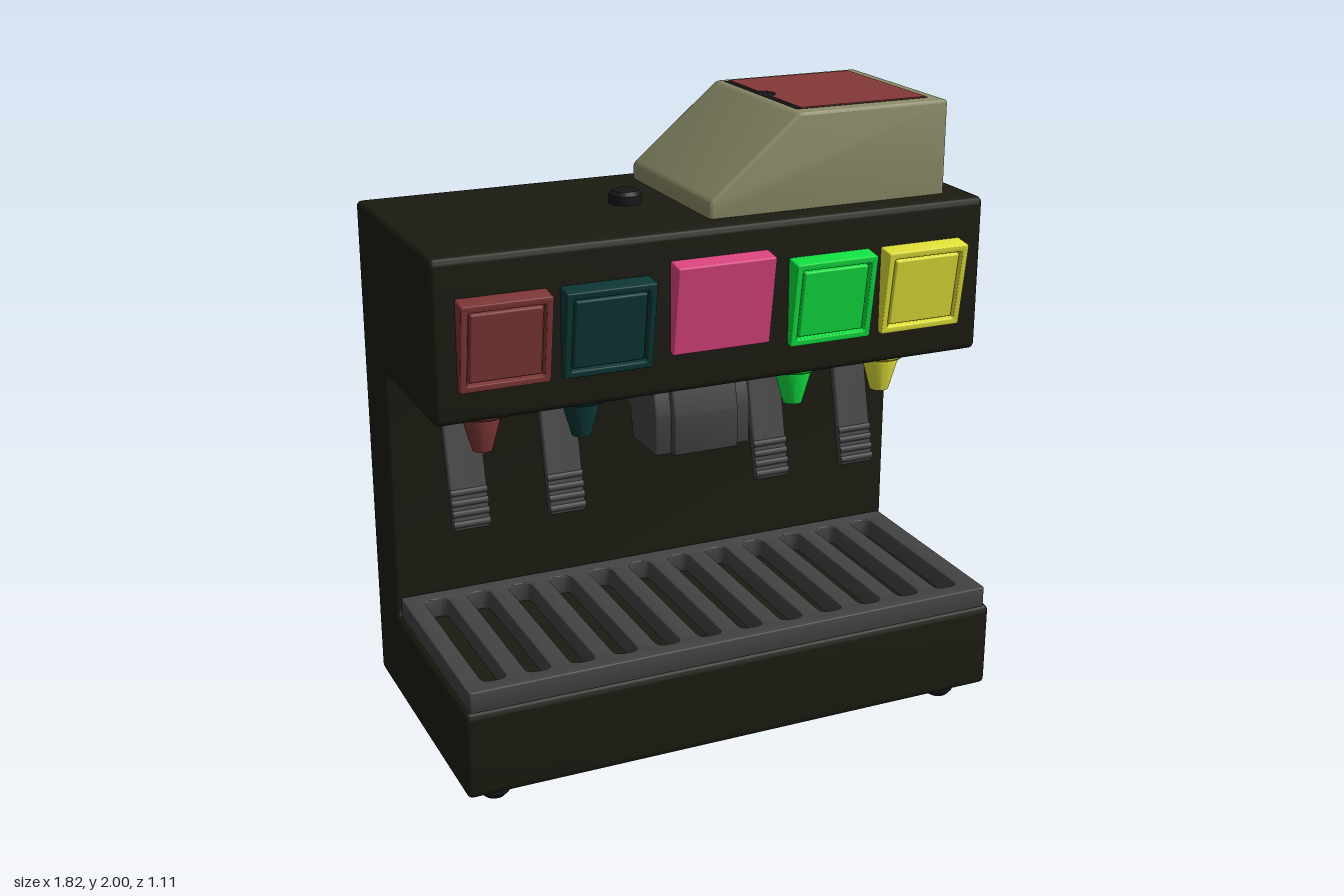
import * as THREE from 'three';
import { toCreasedNormals } from 'three/addons/utils/BufferGeometryUtils.js';
import { RoundedBoxGeometry } from 'three/addons/geometries/RoundedBoxGeometry.js';

const mat = (color, side = THREE.FrontSide) => new THREE.MeshStandardMaterial({ color, side });
const BODY = mat(0x1b1b12), PANEL = mat(0x212124), GREY = mat(0x434343), BLACK = mat(0x17171a);
const BEIGE = mat(0x8a8a67), LID = mat(0x843838);

function add(parent, name, geometry, material, x = 0, y = 0, z = 0) {
  const mesh = new THREE.Mesh(geometry, material);
  mesh.name = name;
  mesh.position.set(x, y, z);
  parent.add(mesh);
  return mesh;
}

// Closed outline with every corner rounded by r
function roundedShape(points, r, Type = THREE.Shape) {
  const s = new Type();
  const v = points.map(p => new THREE.Vector2(...p));
  v.forEach((p, i) => {
    const prev = v[(i + v.length - 1) % v.length], next = v[(i + 1) % v.length];
    const a = p.clone().add(prev.clone().sub(p).setLength(r));
    const b = p.clone().add(next.clone().sub(p).setLength(r));
    if (i) s.lineTo(a.x, a.y); else s.moveTo(a.x, a.y);
    s.quadraticCurveTo(p.x, p.y, b.x, b.y);
  });
  s.closePath();
  return s;
}

const rect = (x0, y0, x1, y1) => [[x0, y0], [x1, y0], [x1, y1], [x0, y1]];

// Extrusion centred on its depth, with softened rims
function extrude(shape, depth, bevel = 0.012) {
  const g = new THREE.ExtrudeGeometry(shape, {
    depth: depth - 2 * bevel, bevelEnabled: bevel > 0, bevelSize: bevel, bevelThickness: bevel,
    bevelOffset: -bevel, bevelSegments: 3, curveSegments: 6,
  });
  g.translate(0, 0, bevel - depth / 2);
  return toCreasedNormals(g, 0.6);
}

// Side profile given as (z, y), extruded across x
const sideExtrude = (points, width, r, bevel) =>
  extrude(roundedShape(points, r), width, bevel).rotateY(-Math.PI / 2);

const lathe = (points, n = 32) =>
  toCreasedNormals(new THREE.LatheGeometry(points.map(p => new THREE.Vector2(...p)), n), 0.6);

function addHopper(root) {
  const g = new THREE.Group();
  g.name = 'hopper';
  root.add(g);
  const outline = [[0, 1.69], [0.82, 1.69], [0.82, 2], [0.3, 2], [0, 1.75]];
  add(g, 'hopperShell', extrude(roundedShape(outline, 0.014), 0.6, 0.01), BEIGE, 0, 0, -0.01);
  add(g, 'lidGap', new THREE.BoxGeometry(0.462, 0.01, 0.51), BLACK, 0.545, 1.9965, -0.0175);
  // Lid with a finger notch in its left edge
  const lid = new THREE.Shape();
  lid.moveTo(0.33, -0.235);
  lid.lineTo(0.773, -0.235);
  lid.lineTo(0.773, 0.27);
  lid.lineTo(0.33, 0.27);
  lid.lineTo(0.33, 0.06);
  lid.absarc(0.32, 0.015, 0.046, 1.35, -1.35, true);
  lid.closePath();
  add(g, 'hopperLid', extrude(lid, 0.012, 0).rotateX(-Math.PI / 2), LID, 0, 1.998, 0);
}

function addButton(root, x0, x1, y0, y1, color, framed) {
  const g = new THREE.Group(), w = x1 - x0, h = y1 - y0, m = mat(color);
  g.name = 'drinkButton';
  g.position.set((x0 + x1) / 2, (y0 + y1) / 2, 0.414);
  g.rotation.x = 0.15;
  root.add(g);
  if (!framed) {
    add(g, 'buttonPad', new RoundedBoxGeometry(w, h, 0.1, 2, 0.006), m, 0, 0, -0.045);
    return;
  }
  const frame = roundedShape(rect(-w / 2, -h / 2, w / 2, h / 2), 0.008);
  const a = w / 2 - 0.022, b = h / 2 - 0.022;
  frame.holes.push(roundedShape(rect(-a, -b, a, b), 0.008, THREE.Path));
  add(g, 'buttonFrame', extrude(frame, 0.1, 0.004), m, 0, 0, -0.045);
  add(g, 'buttonBack', new THREE.BoxGeometry(w - 0.02, h - 0.02, 0.06), m, 0, 0, -0.045);
  add(g, 'buttonPad', new RoundedBoxGeometry(2 * a - 0.014, 2 * b - 0.014, 0.08, 2, 0.006), m, 0, 0, -0.038);
}

function addDispenser(root, x, color) {
  const g = new THREE.Group();
  g.name = 'dispenser';
  g.position.x = x;
  root.add(g);
  add(g, 'nozzleCollar', lathe([[0, 1.17], [0.115, 1.17], [0.125, 1.178], [0.125, 1.21]]), GREY, 0, 0, 0.155);
  add(g, 'nozzle', lathe([[0, 1.05], [0.02, 1.02], [0.031, 1.02], [0.058, 1.118], [0.058, 1.135], [0.074, 1.135],
    [0.081, 1.142], [0.081, 1.163], [0.074, 1.172], [0, 1.172]]), mat(color), 0, 0, 0.155);
  // Push lever hanging from a hinge block, with grip ridges near its tip
  add(g, 'leverHinge', new RoundedBoxGeometry(0.12, 0.05, 0.08, 2, 0.01), GREY, 0, 1.18, -0.105);
  const lever = new THREE.Group();
  lever.name = 'pushLever';
  lever.position.set(0, 0.715, 0.012);
  lever.rotation.x = -0.235;
  g.add(lever);
  add(lever, 'leverBlade', new RoundedBoxGeometry(0.124, 0.5, 0.028, 2, 0.008), GREY, 0, 0.235, 0);
  for (let i = 0; i < 4; i++) {
    add(lever, 'gripRidge', new THREE.CylinderGeometry(0.012, 0.012, 0.122, 10).rotateZ(Math.PI / 2),
      GREY, 0, 0.005 + i * 0.034, 0.009);
  }
}

function addBackPanel(root) {
  const g = new THREE.Group();
  g.name = 'backPanel';
  g.position.set(0, 1.315, -0.38);
  g.rotation.y = Math.PI;
  root.add(g);
  // Sloping sides between a large and a small rectangle
  const outer = rect(-0.885, -0.315, 0.885, 0.315), inner = rect(-0.8, -0.225, 0.8, 0.225);
  const pos = [];
  for (let i = 0; i < 4; i++) {
    const j = (i + 1) % 4;
    const A = [...outer[i], 0], B = [...outer[j], 0], C = [...inner[j], 0.165], D = [...inner[i], 0.165];
    pos.push(...A, ...B, ...C, ...A, ...C, ...D);
  }
  const sides = new THREE.BufferGeometry();
  sides.setAttribute('position', new THREE.Float32BufferAttribute(pos, 3));
  sides.computeVertexNormals();
  add(g, 'panelSides', sides, PANEL);
  // Face with five vent slots, each with a pocket behind it
  const face = new THREE.Shape(inner.map(p => new THREE.Vector2(...p)));
  const pocketMat = mat(0x19191b, THREE.BackSide);
  for (let i = -2; i <= 2; i++) {
    const x = i * 0.142;
    face.holes.push(new THREE.Path(rect(x - 0.034, -0.15, x + 0.034, 0.15).map(p => new THREE.Vector2(...p))));
    add(g, 'ventPocket', new THREE.BoxGeometry(0.068, 0.3, 0.06), pocketMat, x, 0, 0.135);
  }
  add(g, 'panelFace', new THREE.ShapeGeometry(face), PANEL, 0, 0, 0.165);
  for (const x of [-0.73, 0.73]) for (const y of [-0.163, 0.163]) {
    add(g, 'panelScrew', lathe([[0.03, 0], [0.03, 0.006], [0.024, 0.012], [0, 0.012]], 20).rotateX(Math.PI / 2),
      BLACK, x, y, 0.164);
  }
}

export function createModel() {
  const root = new THREE.Group();
  root.name = 'drinkDispenser';

  // C-shaped housing: base, column and overhanging head
  add(root, 'housing', sideExtrude([[-0.39, 0.06], [0.555, 0.06], [0.555, 0.35], [-0.17, 0.35], [-0.17, 1.195],
    [0.38, 1.195], [0.38, 1.7], [-0.39, 1.7]], 1.82, 0.025, 0.015), BODY);

  // Drip tray with twelve slots
  const tray = roundedShape(rect(-0.895, -0.545, 0.895, 0.165), 0.01);
  for (let i = 0; i < 12; i++) {
    const x = (i - 5.5) * 0.1435 - 0.005;
    tray.holes.push(roundedShape(rect(x - 0.04, -0.49, x + 0.04, 0.11), 0.03, THREE.Path));
  }
  add(root, 'dripTray', extrude(tray, 0.07, 0.004).rotateX(-Math.PI / 2), GREY, 0, 0.38, 0);

  // Feet
  for (const x of [-0.795, 0.795]) for (const z of [0.445, -0.28]) {
    add(root, 'foot', lathe([[0, 0], [0.035, 0], [0.05, 0.018], [0.05, 0.07]]), BLACK, x, 0, z);
  }

  addHopper(root);
  add(root, 'topKnob', lathe([[0.052, 1.69], [0.052, 1.728], [0.04, 1.74], [0, 1.74]]), BLACK, -0.15, 0, -0.015);

  // Buttons
  addButton(root, -0.84, -0.56, 1.295, 1.57, 0x7d3636, true);
  addButton(root, -0.52, -0.235, 1.295, 1.57, 0x0d3636, true);
  addButton(root, -0.17, 0.155, 1.32, 1.605, 0xdb4480, false);
  addButton(root, 0.225, 0.505, 1.295, 1.57, 0x10e040, true);
  addButton(root, 0.545, 0.83, 1.295, 1.57, 0xe0e038, true);

  // Nozzles and levers
  [[-0.7, 0x7d3636], [-0.375, 0x0d3636], [0.365, 0x10e040], [0.69, 0xe0e038]]
    .forEach(([x, color]) => addDispenser(root, x, color));

  // Central chute: wide body with a slightly proud middle section
  const chute = front => [[0.08, 0.95], [front, 0.95], [front, 1.08], [front - 0.03, 1.2], [-0.07, 1.2],
    [-0.06, 1.057], [0.055, 1.057]];
  add(root, 'chuteBody', sideExtrude(chute(0.265), 0.325, 0.008, 0.006), GREY, -0.007);
  add(root, 'chuteFront', sideExtrude(chute(0.29), 0.22, 0.008, 0.006), GREY, -0.007);

  addBackPanel(root);

  // Hose outlet at the back
  add(root, 'hoseOutlet', lathe([[0.08, 0], [0.08, 0.065], [0.075, 0.07], [0.058, 0.07], [0.053, 0.065],
    [0.053, 0.02], [0, 0.02]]).rotateX(-Math.PI / 2), BLACK, -0.68, 0.31, -0.385);

  return root;
}
